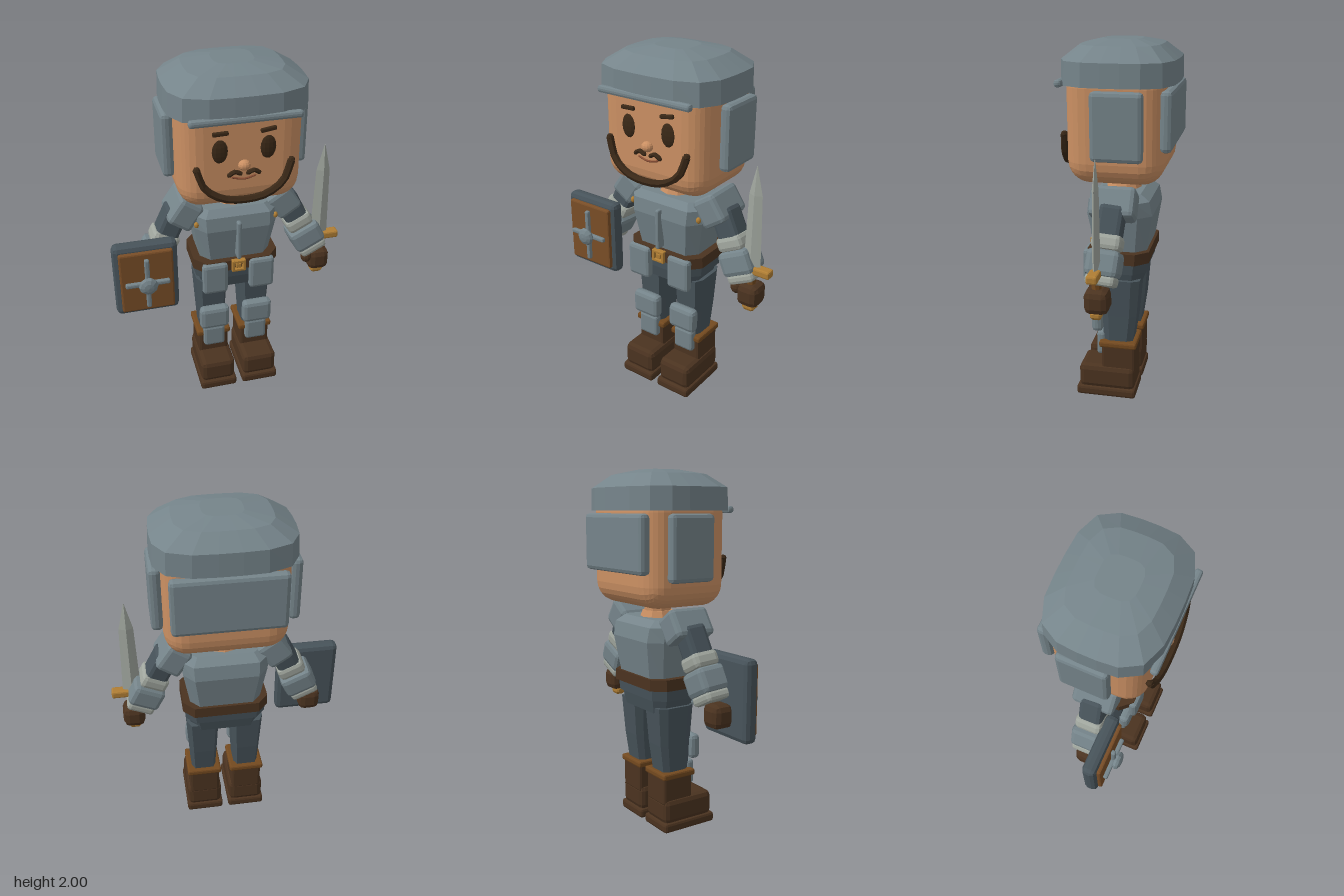
import * as THREE from 'three';
import { RoundedBoxGeometry } from 'three/addons/geometries/RoundedBoxGeometry.js';

const mat = (name, color) => new THREE.MeshStandardMaterial({ name, color, flatShading: true });

// Outlines in the x-z plane, scaled per level by loft()
const superellipse = (n, e) => Array.from({ length: n }, (_, i) => {
  const a = ((i + 0.5) / n) * Math.PI * 2, c = Math.cos(a), s = Math.sin(a);
  const r = Math.pow(Math.abs(c) ** e + Math.abs(s) ** e, -1 / e);
  return [c * r, s * r];
});
const OCTAGON = [[1, -0.6], [1, 0.6], [0.75, 1], [-0.75, 1], [-1, 0.6], [-1, -0.6], [-0.75, -1], [0.75, -1]];
const DIAMOND = [[1, 0], [0, 1], [-1, 0], [0, -1]];

// Closed solid from levels [y, halfX, halfZ, centreZ]
function loft(levels, section) {
  const n = section.length, pos = [], idx = [];
  for (const [y, hx, hz, cz = 0] of levels)
    for (const [x, z] of section) pos.push(x * hx, y, z * hz + cz);
  const first = levels[0], last = levels[levels.length - 1];
  pos.push(0, first[0], first[3] || 0, 0, last[0], last[3] || 0);
  const bottom = n * levels.length, top = bottom + 1, t = bottom - n;
  for (let i = 0; i < n; i++) {
    const j = (i + 1) % n;
    for (let k = 0; k < levels.length - 1; k++) {
      const a = k * n + i, b = k * n + j, c = b + n, d = a + n;
      idx.push(a, d, c, a, c, b);
    }
    idx.push(bottom, i, j, top, t + j, t + i);
  }
  const g = new THREE.BufferGeometry();
  g.setAttribute('position', new THREE.Float32BufferAttribute(pos, 3));
  g.setIndex(idx);
  g.computeVertexNormals();
  return g;
}

export function createModel() {
  const skin = mat('skin', 0xcb9063), steel = mat('steel', 0x75848a), darkSteel = mat('dark steel', 0x47535a);
  const paleSteel = mat('pale steel', 0xa0a69e), leather = mat('dark leather', 0x4b3320), tan = mat('tan leather', 0x73491f);
  const hair = mat('hair', 0x3a2817), gold = mat('brass', 0xb07e34), wood = mat('wood', 0x7a4e27), lip = mat('lip', 0x8a4f35);

  const model = new THREE.Group();
  const body = new THREE.Group();
  body.name = 'soldier';
  body.position.x = 0.024;
  model.add(body);

  const add = (name, geo, material, x = 0, y = 0, z = 0, parent = body) => {
    const m = new THREE.Mesh(geo, material);
    m.name = name;
    m.position.set(x, y, z);
    parent.add(m);
    return m;
  };
  const box = (name, material, w, h, d, x, y, z, r = 0.015, parent = body, seg = 1) =>
    add(name, new RoundedBoxGeometry(w, h, d, seg, Math.min(r, w / 2.1, h / 2.1, d / 2.1)), material, x, y, z, parent);
  const ball = (name, material, r, x, y, z, sx = 1, sy = 1, sz = 1) => {
    const m = add(name, new THREE.SphereGeometry(r, 12, 8), material, x, y, z);
    m.scale.set(sx, sy, sz);
    return m;
  };
  const tube = (name, material, points, r, segs) => {
    const curve = new THREE.CatmullRomCurve3(points.map(p => new THREE.Vector3(...p)));
    add(name, new THREE.TubeGeometry(curve, segs, r, 6), material);
    for (const p of [points[0], points[points.length - 1]])
      add(name + 'End', new THREE.SphereGeometry(r, 6, 4), material, ...p);
  };

  // Head and neck
  box('head', skin, 0.65, 0.62, 0.51, 0, 1.585, 0, 0.12, body, 3);
  add('neck', new THREE.CylinderGeometry(0.075, 0.075, 0.14, 10), skin, 0, 1.24, 0);
  add('neckBase', new THREE.CylinderGeometry(0.085, 0.098, 0.035, 10), skin, 0, 1.222, 0);

  // Face
  for (const s of [-1, 1]) {
    ball('eye', hair, 0.044, s * 0.124, 1.614, 0.25, 1, 1.5, 0.4);
    const brow = box('eyebrow', hair, 0.082, 0.022, 0.025, s * 0.122, 1.711, 0.256, 0.006);
    brow.rotation.z = s > 0 ? 0.15 : 0.03;
    tube('moustache', hair, [[s * 0.02, 1.485, 0.262], [s * 0.05, 1.498, 0.264], [s * 0.078, 1.48, 0.26]], 0.012, 4);
  }
  ball('nose', skin, 0.033, 0, 1.53, 0.262, 1, 0.85, 0.9);
  tube('mouth', lip, [[-0.06, 1.463, 0.254], [0, 1.45, 0.256], [0.06, 1.463, 0.254]], 0.006, 6);
  tube('beard', hair, [[-0.245, 1.53, 0.265], [-0.205, 1.425, 0.275], [-0.115, 1.364, 0.285], [0, 1.348, 0.288],
    [0.115, 1.364, 0.285], [0.205, 1.425, 0.275], [0.245, 1.53, 0.265]], 0.02, 14);

  // Helmet with brow bar, cheek plates and neck guard
  add('helmet', loft([[1.785, 0.368, 0.3], [1.905, 0.363, 0.297], [1.975, 0.25, 0.21], [2, 0.105, 0.1]],
    superellipse(20, 3.6)), steel);
  box('browBar', steel, 0.57, 0.038, 0.04, 0, 1.79, 0.287, 0.014);
  for (const s of [-1, 1]) box('cheekPlate', steel, 0.062, 0.35, 0.268, s * 0.354, 1.595, -0.03, 0.022);
  box('neckGuard', steel, 0.59, 0.31, 0.062, 0, 1.615, -0.266, 0.022);

  // Torso armour
  add('breastplate', loft([[0.86, 0.195, 0.14, -0.01], [1.09, 0.233, 0.178, -0.008], [1.17, 0.237, 0.165, -0.005],
    [1.205, 0.205, 0.12]], OCTAGON), steel);
  box('chestRidge', steel, 0.024, 0.235, 0.06, 0, 1.025, 0.165, 0.008);
  add('belt', loft([[0.825, 0.242, 0.17], [0.888, 0.24, 0.17]], OCTAGON), leather);
  add('upperSkirt', loft([[0.765, 0.226, 0.15], [0.828, 0.232, 0.155]], OCTAGON), darkSteel);
  add('lowerSkirt', loft([[0.685, 0.19, 0.122], [0.775, 0.212, 0.14]], OCTAGON), darkSteel);

  // Belt buckle
  for (const s of [-1, 1]) {
    box('buckleSide', gold, 0.017, 0.072, 0.03, s * 0.031, 0.858, 0.175, 0.004);
    box('buckleBar', gold, 0.078, 0.017, 0.03, 0, 0.858 + s * 0.027, 0.175, 0.004);
  }
  box('bucklePin', gold, 0.032, 0.03, 0.024, 0, 0.858, 0.174, 0.005);

  for (const s of [-1, 1]) {
    ball('rivet', gold, 0.014, s * 0.222, 1.12, 0.118, 1, 1.3, 1);
    box('tasset', steel, 0.145, 0.195, 0.05, s * 0.134, 0.787, 0.168, 0.02);

    // Leg
    const x = s * 0.128;
    add('leg', loft([[0.3, 0.07, 0.078, 0], [0.5, 0.08, 0.098, -0.008], [0.72, 0.092, 0.113, -0.01]], OCTAGON), darkSteel, x);
    box('kneePlate', steel, 0.175, 0.145, 0.065, x, 0.468, 0.117, 0.025);
    box('shinPlate', steel, 0.128, 0.14, 0.05, x, 0.317, 0.098, 0.016);

    // Boot
    box('bootCuff', tan, 0.202, 0.036, 0.212, x, 0.328, -0.004, 0.01);
    box('bootShaft', leather, 0.178, 0.17, 0.192, x, 0.24, -0.006, 0.015);
    box('bootFoot', leather, 0.206, 0.145, 0.322, x, 0.118, 0.06, 0.03);
    box('bootSole', leather, 0.22, 0.056, 0.342, x, 0.028, 0.064, 0.015);

    // Arm, hanging outward
    const pad = box('shoulderPad', steel, 0.15, 0.165, 0.24, s * 0.275, 1.178, 0, 0.025);
    pad.rotation.z = s * 0.6;
    const arm = new THREE.Group();
    arm.name = s > 0 ? 'leftArm' : 'rightArm';
    arm.position.set(s * 0.3, 1.18, -0.005);
    arm.rotation.set(-0.08, 0, s * 0.46);
    body.add(arm);
    box('upperArm', darkSteel, 0.13, 0.2, 0.135, 0, -0.1, 0, 0.025, arm);
    box('elbowBand', paleSteel, 0.155, 0.085, 0.155, 0, -0.195, 0, 0.025, arm);
    box('vambrace', steel, 0.185, 0.14, 0.175, 0, -0.305, 0, 0.028, arm);
    box('wristBand', paleSteel, 0.16, 0.06, 0.155, 0, -0.39, 0, 0.02, arm);
    box('glove', leather, 0.125, 0.13, 0.13, s * 0.516, 0.74, 0.035, 0.035);
    ball('thumb', leather, 0.034, s * 0.442, 0.77, 0.065, 1, 1.2, 1);
  }

  // Sword in the left hand
  const sword = new THREE.Group();
  sword.name = 'sword';
  sword.position.set(0.515, 0, 0.04);
  body.add(sword);
  add('blade', loft([[0.88, 0.052, 0.022], [1.32, 0.039, 0.017], [1.475, 0.002, 0.002]], DIAMOND), paleSteel, 0, 0, 0, sword);
  box('guard', gold, 0.232, 0.044, 0.058, 0, 0.892, 0, 0.01, sword);
  add('grip', new THREE.CylinderGeometry(0.026, 0.026, 0.22, 8), tan, 0, 0.78, 0, sword);
  add('pommel', loft([[0.64, 0.026, 0.022], [0.655, 0.037, 0.03], [0.672, 0.037, 0.03], [0.685, 0.026, 0.022]], OCTAGON),
    gold, 0, 0, 0, sword);

  // Shield on the right arm
  const shield = new THREE.Group();
  shield.name = 'shield';
  shield.position.set(-0.513, 0.833, 0);
  body.add(shield);
  box('shieldBack', darkSteel, 0.355, 0.447, 0.08, 0, 0, 0.115, 0.028, shield);
  box('shieldFace', wood, 0.295, 0.38, 0.034, 0, 0, 0.16, 0.01, shield);
  box('shieldBarUpright', steel, 0.027, 0.315, 0.026, 0, 0, 0.19, 0.008, shield);
  box('shieldBarLevel', steel, 0.245, 0.027, 0.026, 0, 0, 0.19, 0.008, shield);
  const boss = add('shieldBoss', new THREE.SphereGeometry(0.054, 10, 6), steel, 0, 0, 0.215, shield);
  boss.rotation.x = Math.PI / 2;
  boss.scale.y = 0.5;

  return model;
}
